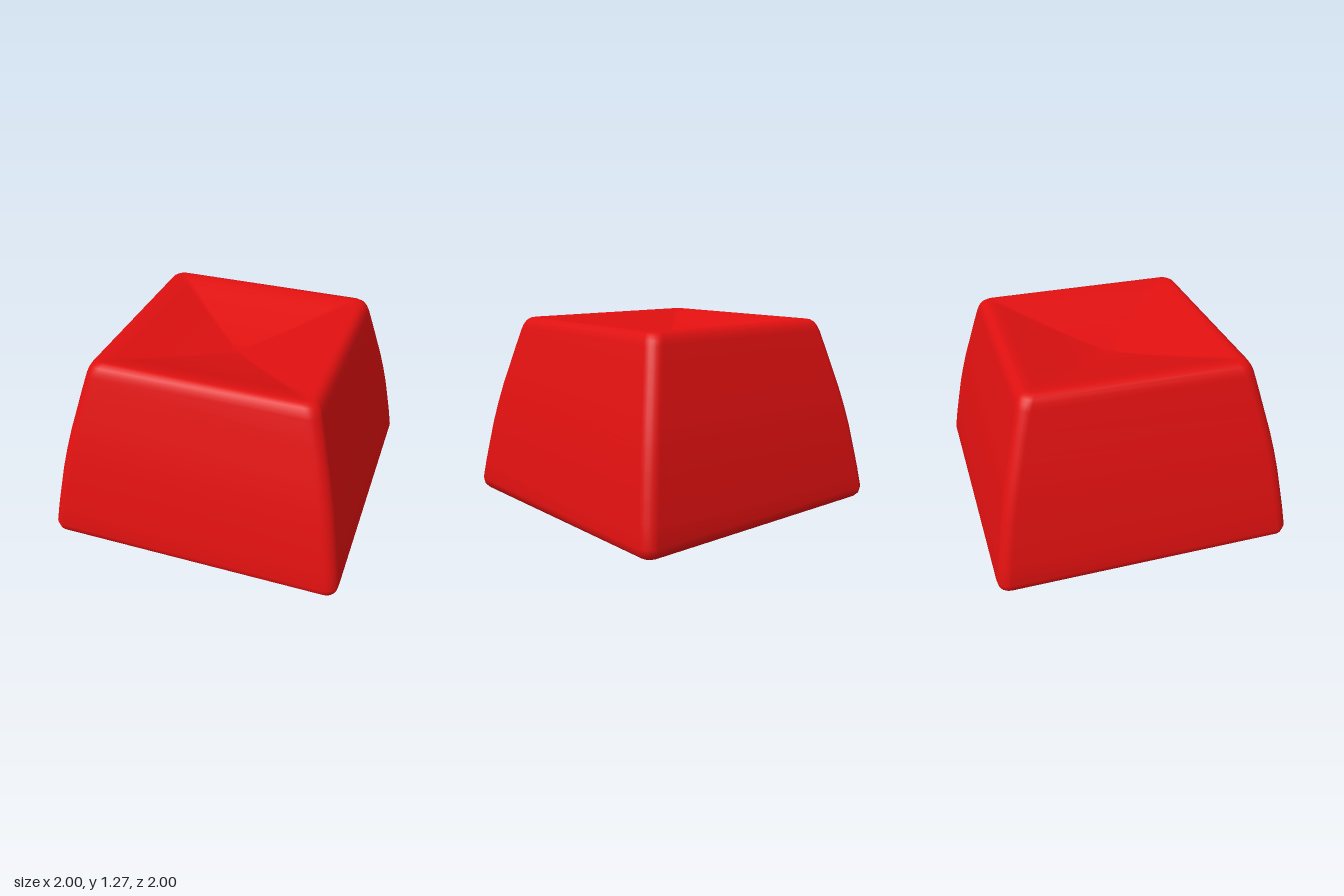
import * as THREE from 'three';

const CORNER_STEPS = 6;

// Rounded square outline, counter-clockwise seen from above
function ring(half, radius, y) {
  const points = [];
  const c = half - radius;
  for (let q = 0; q < 4; q++) {
    const sx = q === 0 || q === 3 ? 1 : -1;
    const sz = q < 2 ? 1 : -1;
    for (let i = 0; i <= CORNER_STEPS; i++) {
      const a = (q + i / CORNER_STEPS) * Math.PI / 2;
      points.push(sx * c + radius * Math.cos(a), y, sz * c + radius * Math.sin(a));
    }
  }
  return points;
}

// Skin stacked rings from the bottom centre to the top centre
function skin(profile, bottomY, topY) {
  const n = 4 * (CORNER_STEPS + 1);
  const positions = [0, bottomY, 0];
  const index = [];
  for (const [half, y, radius] of profile) positions.push(...ring(half, radius, y));
  const last = 1 + n * profile.length;
  positions.push(0, topY, 0);
  for (let i = 0; i < n; i++) {
    const j = (i + 1) % n;
    index.push(0, 1 + i, 1 + j);
    for (let k = 0; k < profile.length - 1; k++) {
      const a = 1 + k * n, b = a + n;
      index.push(a + i, b + i, b + j, a + i, b + j, a + j);
    }
    index.push(last, last - n + j, last - n + i);
  }
  const geometry = new THREE.BufferGeometry();
  geometry.setAttribute('position', new THREE.Float32BufferAttribute(positions, 3));
  geometry.setIndex(index);
  geometry.computeVertexNormals();
  return geometry;
}

export function createModel() {
  const group = new THREE.Group();
  group.name = 'keycap';
  const red = new THREE.MeshStandardMaterial({ color: 0xe01010 });
  red.name = 'red plastic';

  // Half width, height, corner radius: flat base, bowed sides, rounded rim
  const profile = [
    [0.85, 0, 0.03], [0.93, 0, 0.04], [0.965, 0.01, 0.06], [0.99, 0.035, 0.075], [1, 0.08, 0.08],
    [0.98, 0.22, 0.08], [0.957, 0.36, 0.08], [0.932, 0.51, 0.08], [0.904, 0.65, 0.08],
    [0.872, 0.79, 0.08], [0.838, 0.92, 0.08], [0.802, 1.06, 0.08], [0.767, 1.19, 0.08],
    [0.755, 1.223, 0.08], [0.738, 1.25, 0.075], [0.715, 1.266, 0.065], [0.69, 1.27, 0.05],
    [0.66, 1.266, 0.035],
  ];

  // Dished top sinking as a shallow inverted pyramid
  const rim = 1.258, depth = 0.16, edge = 0.62;
  for (let i = 0; i < 9; i++) {
    const t = 1 - i / 9;
    profile.push([edge * t, rim - depth * (1 - Math.pow(t, 1.25)), 0.03 * t]);
  }

  const cap = new THREE.Mesh(skin(profile, 0, rim - depth), red);
  cap.name = 'cap';
  group.add(cap);
  return group;
}
